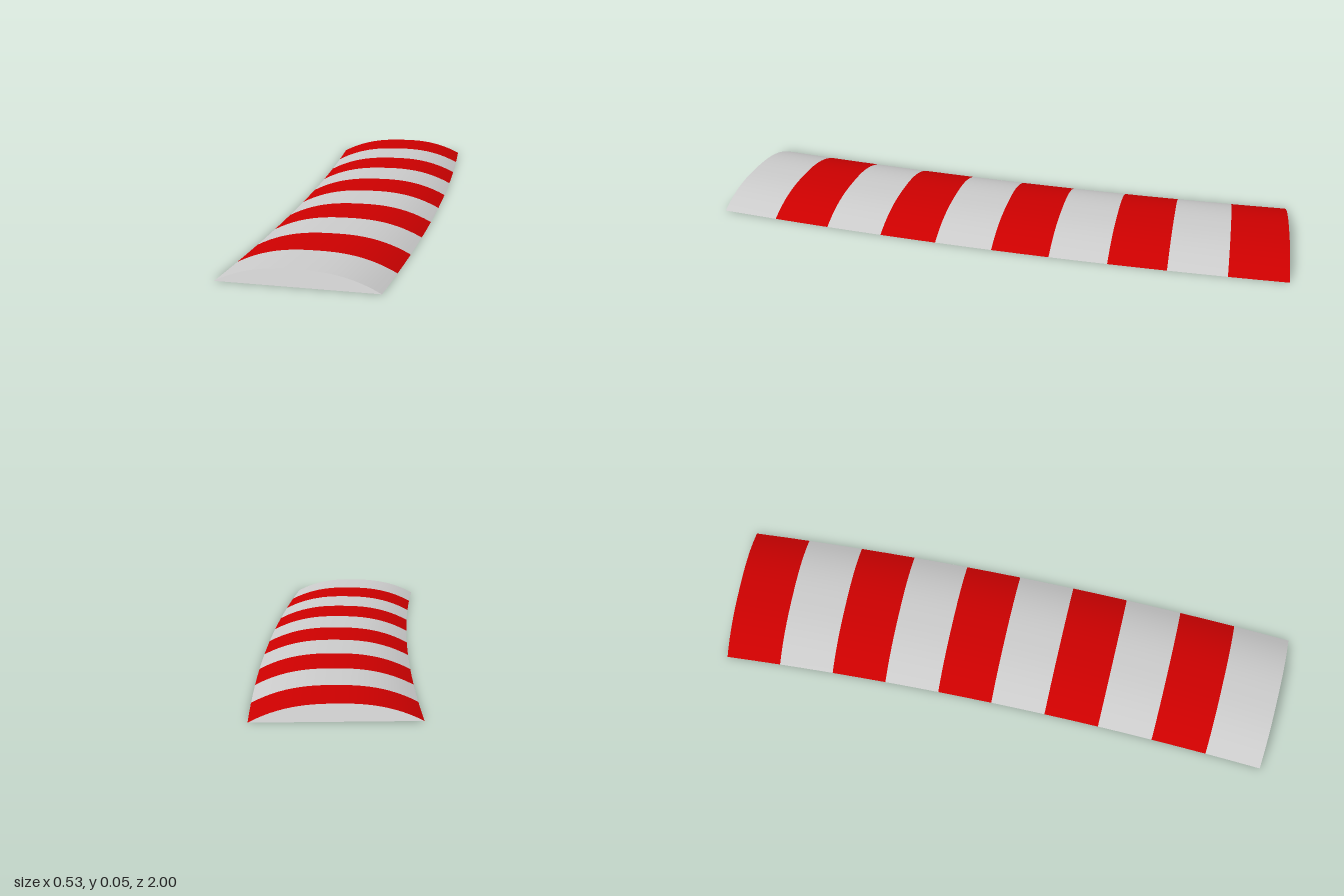
import * as THREE from 'three';

const OUTER = 14.2;              // radius of the outer edge of the bend
const WIDTH = 0.494;
const HEIGHT = 0.053;
const OUTER_X = 0.264;           // outer edge at the middle of the strip
const HALF_ANGLE = Math.asin(1 / OUTER);
const STRIPES = 10;

// Point on the bend: u runs across (-1 inner, 1 outer), t along (-1 back, 1 front)
function bend(u, t, y) {
  const r = OUTER - WIDTH * (1 - u) / 2;
  const a = t * HALF_ANGLE;
  return [OUTER_X - OUTER + r * Math.cos(a), y, r * Math.sin(a)];
}

// Sheet between t0 and t1 with a height rule across its width
function sheet(t0, t1, across, along, height, facesUp) {
  const pos = [], index = [];
  for (let j = 0; j <= along; j++) {
    for (let i = 0; i <= across; i++) {
      const u = -1 + 2 * i / across;
      pos.push(...bend(u, t0 + (t1 - t0) * j / along, height(u)));
    }
  }
  for (let j = 0; j < along; j++) {
    for (let i = 0; i < across; i++) {
      const a = j * (across + 1) + i, b = a + 1, c = a + across + 1, d = c + 1;
      if (facesUp) index.push(a, c, b, b, c, d);
      else index.push(a, b, c, b, d, c);
    }
  }
  const g = new THREE.BufferGeometry();
  g.setAttribute('position', new THREE.Float32BufferAttribute(pos, 3));
  g.setIndex(index);
  g.computeVertexNormals();
  return g;
}

export function createModel() {
  const group = new THREE.Group();
  group.name = 'curvedKerb';
  const grey = new THREE.MeshStandardMaterial({ color: 0xcccccc, side: THREE.DoubleSide });
  const red = new THREE.MeshStandardMaterial({ color: 0xcc0000, side: THREE.DoubleSide });

  const add = (name, geometry, material) => {
    const mesh = new THREE.Mesh(geometry, material);
    mesh.name = name;
    group.add(mesh);
  };

  // Arched top in alternating stripes, red at the back, open at both ends
  const arch = u => HEIGHT * (1 - Math.pow(Math.abs(u), 2.5));
  for (let k = 0; k < STRIPES; k++) {
    const t0 = -1 + 2 * k / STRIPES, t1 = t0 + 2 / STRIPES;
    const isRed = k % 2 === 0;
    add(isRed ? 'redStripe' : 'greyStripe', sheet(t0, t1, 24, 2, arch, true), isRed ? red : grey);
  }

  // Flat underside: two long plates and a narrow joint strip between them
  const flat = () => 0;
  add('backBasePlate', sheet(-1, -0.018, 1, 10, flat, false), grey);
  add('baseJoint', sheet(-0.018, 0.018, 1, 1, flat, false), grey);
  add('frontBasePlate', sheet(0.018, 1, 1, 10, flat, false), grey);

  return group;
}
